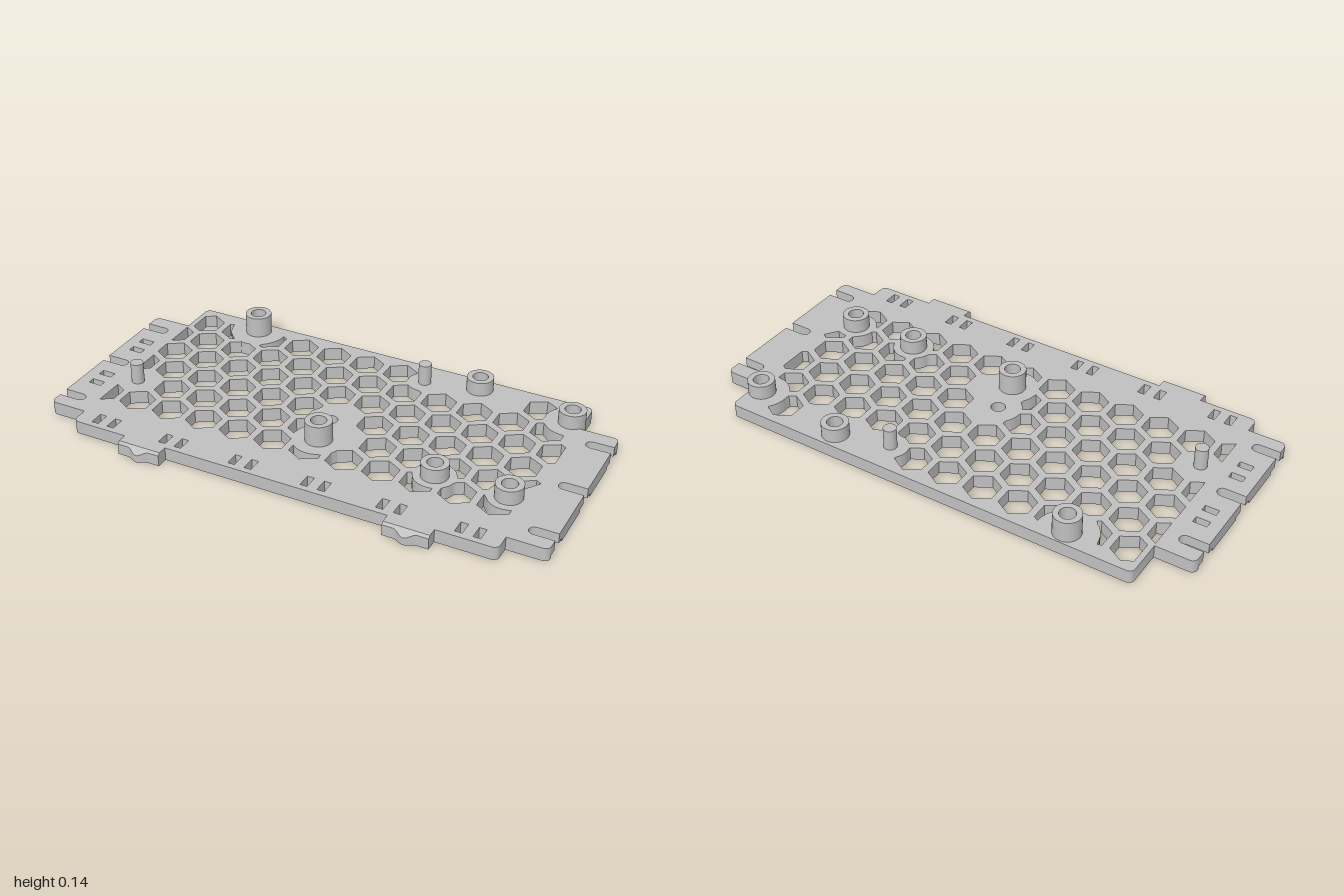
import * as THREE from 'three';
import { toCreasedNormals } from 'three/addons/utils/BufferGeometryUtils.js';

const TOP = 0.052, RECESS = 0.013;
const grey = new THREE.MeshStandardMaterial({ color: 0xc0c0c0 });
grey.name = 'grey plastic';

// Plan points are [x, z]
const toPath = (pts, Type = THREE.Path) => new Type(pts.map(([x, z]) => new THREE.Vector2(x, -z)));
const arc = (cx, cz, r, a0, a1, n) => Array.from({ length: n + 1 }, (_, i) => {
  const a = a0 + (a1 - a0) * i / n;
  return [cx + r * Math.cos(a), cz + r * Math.sin(a)];
});
const rect = (x, z, w, d) => [[x - w, z - d], [x + w, z - d], [x + w, z + d], [x - w, z + d]];
const area = (p) => Math.abs(p.reduce((s, [x, z], i) => {
  const [u, v] = p[(i + 1) % p.length];
  return s + x * v - u * z;
}, 0)) / 2;

function slab(shape, y0, y1) {
  const g = new THREE.ExtrudeGeometry(shape, { depth: y1 - y0, bevelEnabled: false });
  g.rotateX(-Math.PI / 2).translate(0, y0, 0);
  return toCreasedNormals(g, 0.6);
}

// Plate outline, counter-clockwise, with three open slots of half width w on each end
function outline(w) {
  const r = 0.022, H = Math.PI / 2, side = [];
  side.push(...arc(0.848 - r, -0.512 + r, r, -H, 0, 5), [0.848, -0.357], ...arc(1 - r, -0.357 + r, r, -H, 0, 5));
  for (const z of [-0.275, 0.014, 0.303]) {
    side.push([1, z - w], ...arc(0.92, z, w, -H, -3 * H, 10), [1, z + w]);
  }
  side.push(...arc(1 - r, 0.38 - r, r, 0, H, 5), [0.848, 0.38], ...arc(0.848 - r, 0.451 - r, r, 0, H, 5));
  return [...side, ...side.map(([x, z]) => [-x, z]).reverse()].reverse();
}

// Keep each run of points passing the test, closed by close(run)
function splitRuns(pts, keep, close) {
  const n = pts.length, flags = pts.map(keep);
  if (flags.every(Boolean)) return [pts];
  const start = flags.indexOf(false), runs = [];
  let run = [];
  for (let i = 1; i <= n; i++) {
    const j = (start + i) % n;
    if (flags[j]) run.push(pts[j]);
    else if (run.length) { runs.push(close(run)); run = []; }
  }
  return runs;
}

function cutDisc(pts, [cx, cz, r]) {
  return splitRuns(pts, ([x, z]) => Math.hypot(x - cx, z - cz) > r, (run) => {
    const ang = ([x, z]) => Math.atan2(z - cz, x - cx);
    const a0 = ang(run[run.length - 1]);
    let d = ang(run[0]) - a0;
    if (d > Math.PI) d -= 2 * Math.PI;
    if (d < -Math.PI) d += 2 * Math.PI;
    return [...run, ...arc(cx, cz, r, a0, a0 + d, 8).slice(1, -1)];
  });
}

// Solid pads around the fixings, which interrupt the honeycomb: x, z, radius
const PADS = [
  [-0.568, -0.454, 0.113], [0.202, -0.397, 0.068], [0.023, 0.145, 0.1], [0, 0.008, 0.09],
  [0.492, 0.161, 0.08], [0.772, 0.161, 0.08], [-0.79, 0.103, 0.07], [0.803, -0.387, 0.1],
];

function honeycomb() {
  const pitch = 0.1464, R = 0.0685, holes = [];
  const skipped = { 0: [7, 8, 9, 11], 3: [6], 4: [0, 6] };
  for (let row = 0; row < 6; row++) {
    for (let k = 0; k < 12; k++) {
      if (skipped[row]?.includes(k)) continue;
      const cx = -0.787 + pitch * (k - (row % 2) / 2), cz = -0.412 + 0.1268 * row;
      const corners = arc(cx, cz, R, Math.PI / 6, Math.PI / 6 + 2 * Math.PI, 6).slice(0, 6);
      const dense = corners.flatMap(([x, z], i) => {
        const [u, v] = corners[(i + 1) % 6];
        return Array.from({ length: 12 }, (_, j) => [x + (u - x) * j / 12, z + (v - z) * j / 12]);
      });
      const lim = row === 0 ? 0.83 : 0.848;
      let pieces = splitRuns(dense, ([x]) => Math.abs(x) < lim, (run) => run);
      for (const pad of PADS) pieces = pieces.flatMap((p) => cutDisc(p, pad));
      if (pieces[0] === dense) holes.push(corners);
      else holes.push(...pieces.filter((p) => p.length > 4 && area(p) > 0.0011));
    }
  }
  return holes;
}

export function createModel() {
  const model = new THREE.Group();
  model.name = 'honeycombPlate';
  const add = (name, geometry, x = 0, z = 0) => {
    const m = new THREE.Mesh(geometry, grey);
    m.name = name;
    m.position.set(x, 0, z);
    model.add(m);
  };

  // All through holes: honeycomb, centre hole and cable tie slots
  const holes = honeycomb();
  holes.push(arc(0, 0.008, 0.028, 0, 2 * Math.PI, 24).slice(0, 24));
  for (let i = 0; i < 6; i++) {
    for (const dx of [0, 0.067]) holes.push(rect(-0.767 + 0.2926 * i + dx, 0.399, 0.014, 0.028));
  }
  for (const z of [-0.165, -0.095, 0.115, 0.185]) holes.push(rect(-0.927, z, 0.027, 0.014));

  // Plate in two layers, the lower one with wider recesses at the end slots
  const layer = (w) => {
    const s = toPath(outline(w), THREE.Shape);
    s.holes = holes.map((h) => toPath(h));
    return s;
  };
  add('plateRecessLayer', slab(layer(0.053), 0, RECESS));
  add('plate', slab(layer(0.021), RECESS, TOP));

  // Ring bosses with blind bores: x, z, height, foot
  const bosses = [
    [-0.568, -0.454, 0.135, 0.05], [0.023, 0.145, 0.135, 0.05], [0.412, -0.447, 0.108, 0.05],
    [0.492, 0.161, 0.108, 0.05], [0.772, 0.161, 0.108, 0.05], [0.805, -0.388, 0.108, 0],
  ];
  for (const [x, z, h, foot] of bosses) {
    const profile = [[0, foot], [0.052, foot], [0.052, h], [0.03, h], [0.03, 0.055], [0, 0.055]];
    const g = new THREE.LatheGeometry(profile.map((p) => new THREE.Vector2(...p)), 32);
    add('boss', toCreasedNormals(g, 0.6), x, z);
  }

  // Locating pins
  for (const [x, z] of [[0.202, -0.397], [-0.79, 0.103]]) {
    add('pin', new THREE.CylinderGeometry(0.025, 0.025, 0.085, 24).translate(0, 0.0925, 0), x, z);
  }

  // Front clips: a flat tongue and a sloping lip with a rounded bump
  const bump = Array.from({ length: 13 }, (_, i) => {
    const t = -1 + i / 6;
    return [0.045 * t, 0.497 + 0.017 * (0.5 + 0.5 * Math.cos(Math.PI * t))];
  });
  const lip = [[-0.087, 0.487], [-0.087, 0.497], ...bump, [0.087, 0.497], [0.087, 0.487]];
  const lipGeo = slab(toPath(lip, THREE.Shape), 0, TOP);
  const p = lipGeo.attributes.position;
  for (let i = 0; i < p.count; i++) {
    if (p.getY(i) > 0.03) p.setY(i, TOP - (p.getZ(i) - 0.487) * 0.85);
  }
  const clipLip = toCreasedNormals(lipGeo, 0.5);
  for (const x of [-0.532, 0.533]) {
    add('clipTongue', new THREE.BoxGeometry(0.174, TOP, 0.04).translate(0, TOP / 2, 0.467), x);
    add('clipLip', clipLip, x);
  }
  return model;
}
